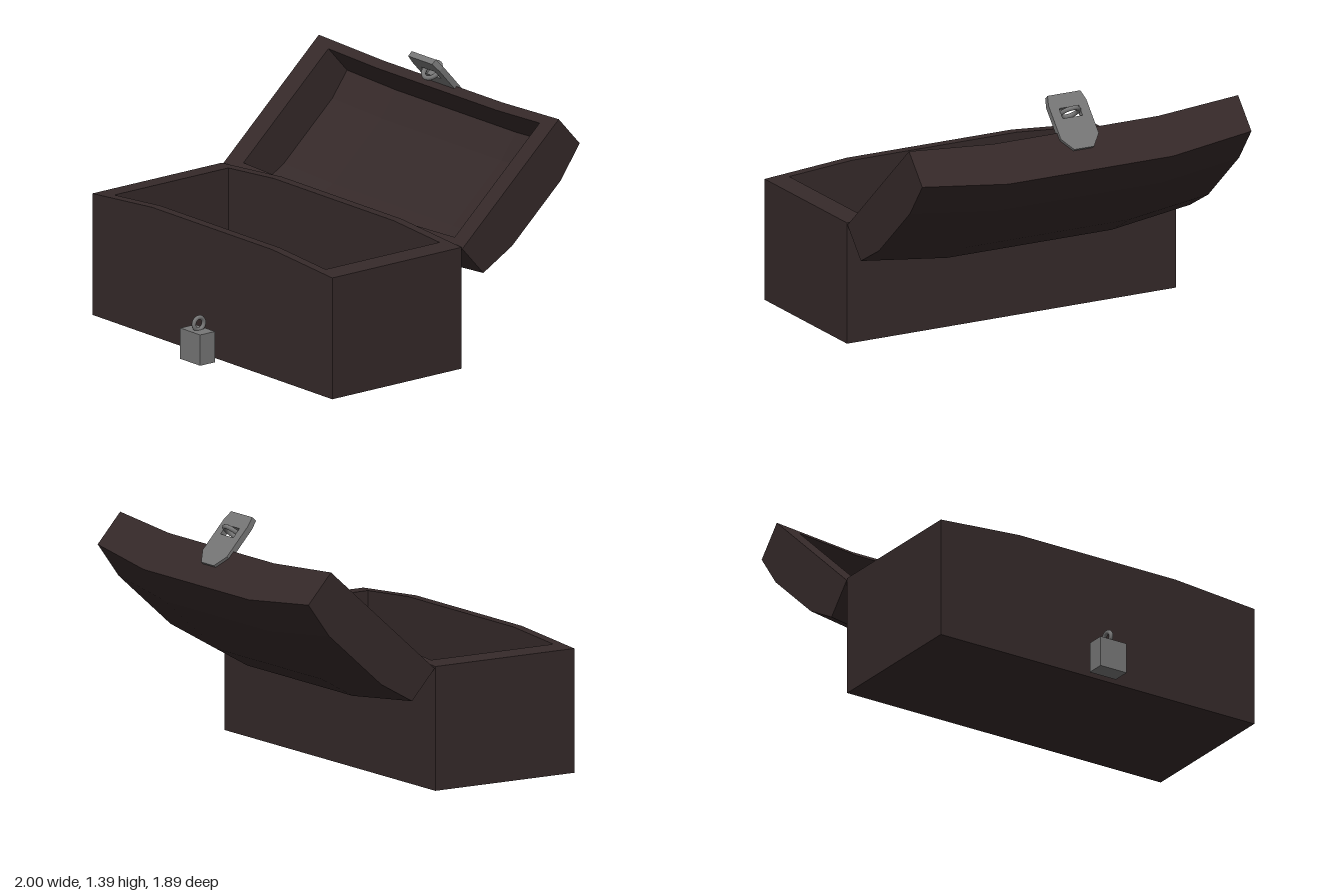
import * as THREE from 'three';

const wood = new THREE.MeshStandardMaterial({ color: 0x352929 });
wood.name = 'dark wood';
const metal = new THREE.MeshStandardMaterial({ color: 0x767676 });
metal.name = 'grey metal';

function add(parent, name, geometry, material) {
  const mesh = new THREE.Mesh(geometry, material);
  mesh.name = name;
  parent.add(mesh);
  return mesh;
}

// Solid over the grid xs by zs, between two height functions
function slab(xs, zs, bottom, top) {
  const nx = xs.length - 1, nz = zs.length - 1;
  const g = new THREE.BoxGeometry(1, 1, 1, nx, 1, nz).toNonIndexed();
  const p = g.attributes.position;
  for (let i = 0; i < p.count; i++) {
    const x = xs[Math.round((p.getX(i) + 0.5) * nx)];
    const z = zs[Math.round((p.getZ(i) + 0.5) * nz)];
    p.setXYZ(i, x, p.getY(i) > 0 ? top(x, z) : bottom(x, z), z);
  }
  g.computeVertexNormals();
  return g;
}

const WIDE = [-1, -0.5, 0.5, 1];
const DEPTH = 0.885, WALL = 0.053, INNER = 0.88;
const swell = (x) => Math.min(1, (1 - Math.abs(x)) / 0.5);
const arch = (z) => Math.max(0, Math.min(1, z / 0.22, (DEPTH - z) / 0.22));

// Four walls around a cavity, from z = 0 to DEPTH
function addWalls(parent, bottom, top) {
  add(parent, 'backWall', slab(WIDE, [0, WALL], bottom, top), wood);
  add(parent, 'frontWall', slab(WIDE, [DEPTH - WALL, DEPTH], bottom, top), wood);
  const zs = [WALL, 0.22, DEPTH - 0.22, DEPTH - WALL];
  add(parent, 'leftWall', slab([INNER, 1], zs, bottom, top), wood);
  add(parent, 'rightWall', slab([-1, -INNER], zs, bottom, top), wood);
}

export function createModel() {
  const model = new THREE.Group();
  model.name = 'openChest';

  // Box body with a rim that rises towards the middle
  const body = new THREE.Group();
  body.name = 'body';
  body.position.z = -0.09;
  addWalls(body, () => 0, (x) => 0.67 + 0.04 * swell(x));
  add(body, 'floor', slab([-INNER, INNER], [WALL, DEPTH - WALL], () => 0, () => 0.06), wood);
  model.add(body);

  // Lid: local z runs from hinge to front, local y points outwards
  const lid = new THREE.Group();
  lid.name = 'lid';
  lid.position.set(0, 0.66, -0.095);
  lid.rotation.x = -2.412;
  const rim = (x) => 0.04 * swell(x);
  const ceiling = (x, z) => 0.18 + 0.045 * swell(x) + 0.045 * arch(z);
  const outside = (x, z) => 0.215 + 0.065 * swell(x) + 0.048 * arch(z);
  addWalls(lid, rim, (x, z) => ceiling(x, z) + 0.01);
  add(lid, 'roof', slab(WIDE, [0, 0.22, DEPTH - 0.22, DEPTH], ceiling, outside), wood);
  model.add(lid);

  // Latch plate with a slot, and the ring through it
  const outline = [[-0.1, -0.172], [0.1, -0.172], [0.115, -0.115], [0.115, 0.085],
    [0.06, 0.155], [-0.06, 0.155], [-0.115, 0.085], [-0.115, -0.115]];
  const slot = [[-0.06, -0.09], [-0.06, -0.03], [0.06, -0.03], [0.06, -0.09]];
  const toPoints = (list) => list.map(([x, y]) => new THREE.Vector2(x, y));
  const plate = new THREE.Shape(toPoints(outline));
  plate.holes.push(new THREE.Path(toPoints(slot)));
  const latch = add(lid, 'latchPlate',
    new THREE.ExtrudeGeometry(plate, { depth: 0.033, bevelEnabled: false }), metal);
  latch.position.z = 0.868;
  const ring = add(lid, 'latchRing',
    new THREE.TorusGeometry(0.053, 0.013, 8, 24).rotateX(Math.PI / 2), metal);
  ring.position.set(0, -0.066, 0.882);

  // Padlock standing in front
  const padlock = new THREE.Group();
  padlock.name = 'padlock';
  padlock.position.z = 0.895;
  add(padlock, 'padlockBody', new THREE.BoxGeometry(0.166, 0.17, 0.102).translate(0, 0.085, 0), metal);
  const shackle = add(padlock, 'shackle',
    new THREE.TorusGeometry(0.034, 0.012, 8, 24).rotateY(Math.PI / 2), metal);
  shackle.position.set(0, 0.203, -0.008);
  model.add(padlock);

  return model;
}
